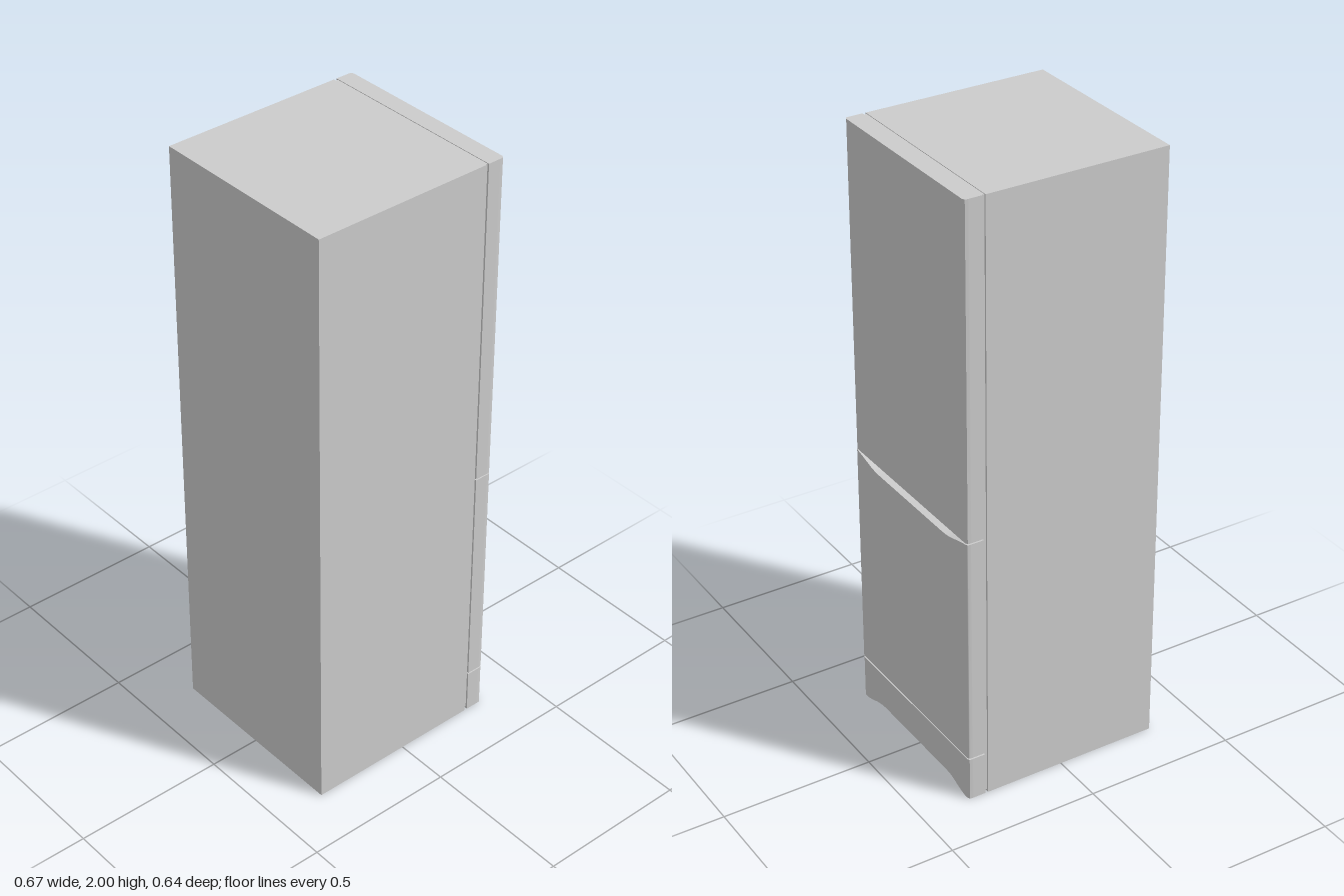
import * as THREE from 'three';
import { toCreasedNormals } from 'three/addons/utils/BufferGeometryUtils.js';

const HZ = 0.322;      // half width of the cabinet
const FRONT = 0.333;   // outer face of the doors
const R = 0.009;       // rounding of the upright door edges

export function createModel() {
  const model = new THREE.Group();
  const enamel = new THREE.MeshStandardMaterial({ color: 0xcccccc });

  function add(name, geometry) {
    const mesh = new THREE.Mesh(geometry, enamel);
    mesh.name = name;
    model.add(mesh);
  }

  function box(name, x0, x1, y0, y1, hz) {
    const g = new THREE.BoxGeometry(x1 - x0, y1 - y0, hz * 2);
    g.translate((x0 + x1) / 2, (y0 + y1) / 2, 0);
    add(name, g);
  }

  // Panel cut from a width/height outline, extruded to x0..x1, upright edges rounded at the front
  function panel(name, outline, x0, x1) {
    const shape = new THREE.Shape(outline.map(([u, y]) => new THREE.Vector2(u, y)));
    const g = new THREE.ExtrudeGeometry(shape, { depth: x1 - x0, steps: 14, bevelEnabled: false });
    g.rotateY(Math.PI / 2);
    g.translate(x0, 0, 0);
    const p = g.attributes.position;
    for (let i = 0; i < p.count; i++) {
      const d = Math.max(0, p.getX(i) - (FRONT - R));
      const limit = HZ - R + Math.sqrt(Math.max(0, R * R - d * d));
      p.setZ(i, THREE.MathUtils.clamp(p.getZ(i), -limit, limit));
    }
    add(name, toCreasedNormals(g, 0.6));
  }

  // Outline helper: mirrors the right-hand points to the left
  const mirrored = (pts) => [...pts, ...pts.map(([u, y]) => [-u, y]).reverse()];

  // Cabinet and the recessed door seal
  box('cabinet', -FRONT, 0.265, 0, 2, HZ);
  box('doorSeal', 0.265, 0.276, 0.008, 1.998, HZ - 0.006);

  // Upper door
  panel('upperDoor', mirrored([[HZ, 0.919], [HZ, 2]]), 0.275, FRONT);

  // Lower door: solid back layer and front layer with the hand grip scooped out of its top
  panel('lowerDoorBack', mirrored([[HZ, 0.152], [HZ, 0.915]]), 0.275, 0.303);
  panel('lowerDoorFront', mirrored([
    [HZ, 0.152], [HZ, 0.915], [0.312, 0.915], [0.285, 0.909],
    [0.225, 0.894], [0.205, 0.891], [0.18, 0.89],
  ]), 0.303, FRONT);

  // Kick plate with a shallow arch along the floor
  panel('kickPlate', mirrored([
    [0.18, 0.027], [0.205, 0.026], [0.225, 0.022], [0.27, 0.006],
    [0.295, 0], [HZ, 0], [HZ, 0.147],
  ]), 0.275, FRONT);

  return model;
}
